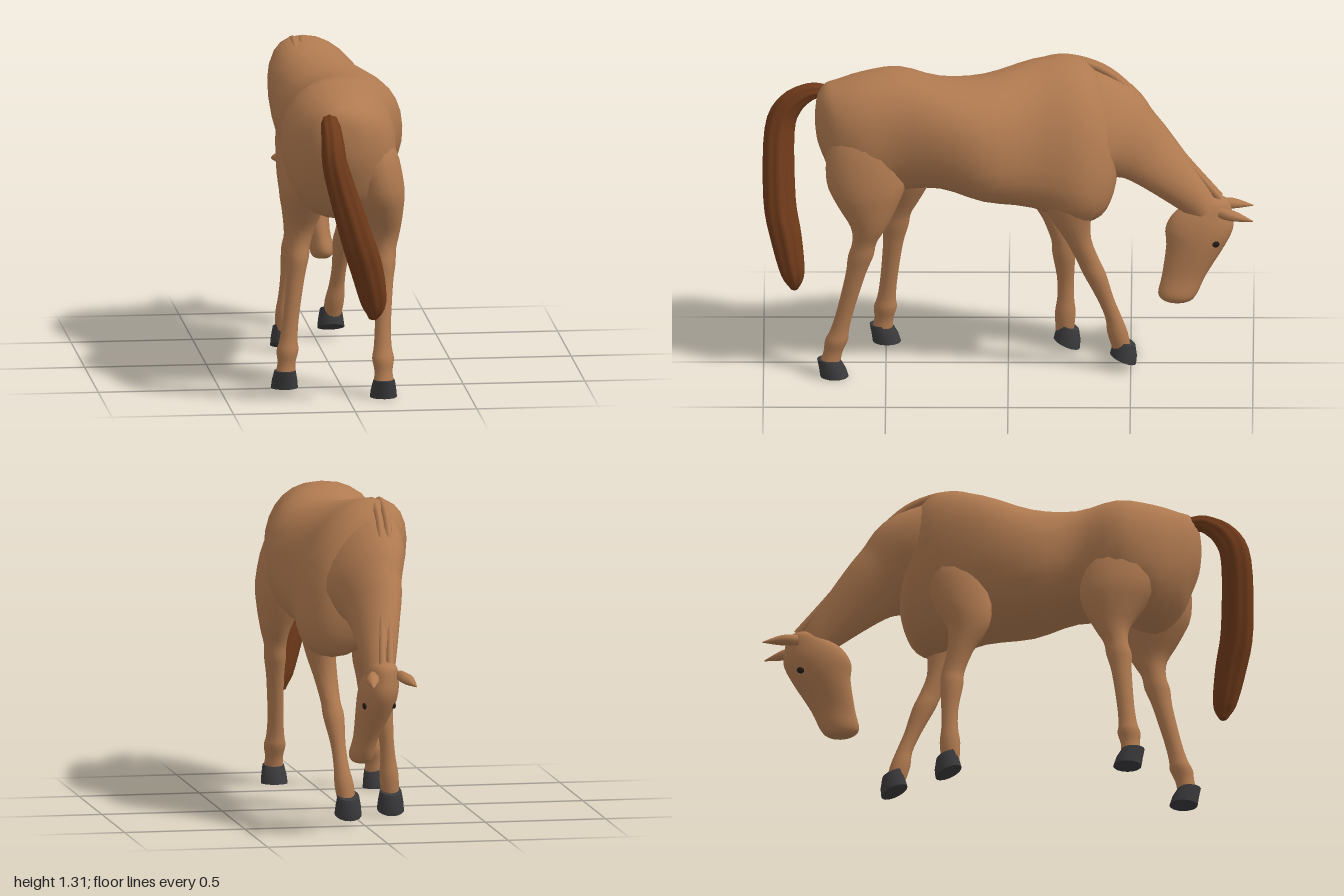
import * as THREE from 'three';

const material = (name, color) => Object.assign(new THREE.MeshStandardMaterial({ color }), { name });
const coat = material('coat brown', 0xb07a50);
const tailHair = material('tail brown', 0x6f3a1a);
const hoofHorn = material('hoof grey', 0x3a3a3c);
const eyeDark = material('eye dark', 0x241a16);

const X = new THREE.Vector3(1, 0, 0);
const FORWARD = new THREE.Vector3(0, 0, -1);
const DOWN = new THREE.Vector3(0, -1, 0);

// Smoothly resample rows of ring numbers (Catmull-Rom on every column)
function resample(rows, steps) {
  const out = [];
  const at = i => rows[Math.max(0, Math.min(rows.length - 1, i))];
  for (let i = 0; i < rows.length - 1; i++) {
    for (let k = 0; k < steps; k++) {
      const t = k / steps;
      out.push(rows[i].map((b, c) => {
        const a = at(i - 1)[c], d = at(i + 1)[c], e = at(i + 2)[c];
        return b + 0.5 * t * (d - a + t * (2 * a - 5 * b + 4 * d - e + t * (3 * (b - d) + e - a)));
      }));
    }
  }
  out.push(rows[rows.length - 1]);
  return out;
}

// Skin over rings [x, y, z, sideRadius, depthRadius, lean]; axis fixes the ring plane,
// otherwise rings stand square to the path
function loft(rows, { axis = null, sides = 20, steps = 3, power = 1, ridges = 0 } = {}) {
  const rings = resample(rows, steps);
  const centres = rings.map(r => new THREE.Vector3(r[0], r[1], r[2]));
  const pos = [], idx = [], n = rings.length;
  const bend = v => Math.sign(v) * Math.pow(Math.abs(v), power);
  rings.forEach((r, i) => {
    const t = axis ? axis.clone()
      : centres[Math.min(n - 1, i + 1)].clone().sub(centres[Math.max(0, i - 1)]).normalize();
    const s = X.clone().addScaledVector(t, -t.x).normalize();
    const f = t.clone().cross(s);
    for (let j = 0; j < sides; j++) {
      const a = j / sides * Math.PI * 2;
      const g = ridges ? 1 + 0.07 * Math.cos(ridges * a) : 1;
      const u = bend(Math.cos(a)) * r[3] * g, v = bend(Math.sin(a)) * r[4] * g;
      const p = centres[i].clone().addScaledVector(s, u + (r[5] || 0) * Math.sin(a)).addScaledVector(f, v);
      pos.push(p.x, p.y, p.z);
    }
  });
  for (let i = 0; i < n - 1; i++) {
    for (let j = 0; j < sides; j++) {
      const k = (j + 1) % sides, a = i * sides, b = a + sides;
      idx.push(a + j, a + k, b + j, a + k, b + k, b + j);
    }
  }
  // End caps with their own corners
  for (const ring of [0, n - 1]) {
    const base = pos.length / 3, start = ring * sides * 3;
    pos.push(...centres[ring].toArray(), ...pos.slice(start, start + sides * 3));
    for (let j = 0; j < sides; j++) {
      const a = base + 1 + j, b = base + 1 + (j + 1) % sides;
      idx.push(base, ring ? a : b, ring ? b : a);
    }
  }
  const geo = new THREE.BufferGeometry();
  geo.setAttribute('position', new THREE.Float32BufferAttribute(pos, 3));
  geo.setIndex(idx);
  geo.computeVertexNormals();
  return geo;
}

// Point of a leg's path [y, x, z] at height y
function pathAt(path, y) {
  const i = Math.max(1, path.findIndex(p => p[0] <= y));
  const [a, b] = [path[i - 1], path[i]];
  const t = (a[0] - y) / (a[0] - b[0]);
  return [a[1] + (b[1] - a[1]) * t, y, a[2] + (b[2] - a[2]) * t];
}

// Leg girth by height: y, half width, half depth
const hindGirth = [
  [1.16, 0.03, 0.05], [1.02, 0.1, 0.15], [0.86, 0.112, 0.163], [0.76, 0.092, 0.125], [0.67, 0.063, 0.074],
  [0.6, 0.047, 0.05], [0.54, 0.045, 0.052], [0.46, 0.037, 0.041], [0.3, 0.033, 0.035],
  [0.21, 0.037, 0.038], [0.165, 0.045, 0.047], [0.115, 0.037, 0.039], [0.07, 0.042, 0.043],
];
const foreGirth = [
  [1.12, 0.03, 0.05], [0.96, 0.08, 0.12], [0.8, 0.078, 0.118], [0.7, 0.064, 0.084], [0.6, 0.05, 0.054],
  [0.5, 0.041, 0.047], [0.44, 0.044, 0.047], [0.33, 0.031, 0.035], [0.24, 0.032, 0.034],
  [0.17, 0.04, 0.042], [0.09, 0.036, 0.037],
];

export function createModel() {
  const horse = new THREE.Group();
  horse.name = 'horse';
  const add = (name, geo, mat, parent = horse) => {
    const mesh = new THREE.Mesh(geo, mat);
    mesh.name = name;
    parent.add(mesh);
    return mesh;
  };

  // Barrel: z, x, top, bottom, half width, lean
  const barrel = [
    [0.79, -0.02, 1.1, 1.05, 0.015, 0], [0.78, -0.02, 1.17, 0.98, 0.075, 0],
    [0.75, -0.02, 1.215, 0.9, 0.13, 0], [0.7, -0.01, 1.235, 0.8, 0.178, 0],
    [0.6, -0.01, 1.265, 0.73, 0.222, 0], [0.45, -0.01, 1.285, 0.78, 0.235, 0],
    [0.28, 0.045, 1.265, 0.81, 0.22, 0], [0.1, 0.04, 1.262, 0.76, 0.248, 0.02],
    [-0.1, 0, 1.3, 0.73, 0.22, 0.07], [-0.28, 0.015, 1.315, 0.68, 0.208, 0.09],
    [-0.38, 0.02, 1.23, 0.7, 0.165, 0.07], [-0.43, 0.02, 1.08, 0.78, 0.115, 0.03],
    [-0.45, 0.01, 0.98, 0.88, 0.04, 0],
  ].map(([z, x, top, low, w, lean]) => [x, (top + low) / 2, z, w, (top - low) / 2, lean]);
  add('body', loft(barrel, { axis: FORWARD, sides: 28, power: 0.9 }), coat);

  // Neck and head
  add('neck', loft([
    [0, 1.05, -0.25, 0.16, 0.24, 0.08], [-0.01, 1.03, -0.4, 0.15, 0.2, 0.08],
    [-0.02, 0.97, -0.5, 0.118, 0.15, 0.05], [-0.025, 0.9, -0.585, 0.095, 0.118, 0.04],
    [-0.01, 0.74, -0.75, 0.07, 0.078, 0.01], [0, 0.67, -0.8, 0.06, 0.06, 0],
  ], { sides: 22, steps: 4 }), coat);
  const head = new THREE.Group();
  head.name = 'head';
  horse.add(head);
  add('skull', loft([
    [-0.02, 0.738, -0.835, 0.015, 0.02], [-0.015, 0.715, -0.83, 0.052, 0.07],
    [-0.008, 0.66, -0.795, 0.072, 0.12], [0, 0.6, -0.78, 0.08, 0.138], [0.012, 0.53, -0.765, 0.074, 0.12],
    [0.038, 0.41, -0.718, 0.05, 0.09], [0.052, 0.335, -0.692, 0.05, 0.08],
    [0.052, 0.305, -0.69, 0.038, 0.055], [0.05, 0.297, -0.69, 0.015, 0.02],
  ], { axis: DOWN, steps: 4 }), coat, head);
  for (const side of [-1, 1]) {
    const label = side > 0 ? 'left' : 'right';
    const eye = add(label + 'Eye', new THREE.SphereGeometry(0.018, 12, 8), eyeDark, head);
    eye.scale.set(0.5, 0.8, 1);
    eye.position.set(0.007 + side * 0.06, 0.555, -0.845);
    const base = -0.02 + side * 0.055, tip = -0.03 + side * 0.09;
    add(label + 'Ear', loft([
      [base, 0.68, -0.86, 0.018, 0.022], [(base + tip) / 2, 0.67, -0.92, 0.027, 0.021],
      [tip, 0.652, -1, 0.002, 0.002],
    ], { sides: 10, steps: 4 }), coat, head);
  }

  // Two low ridges of clipped mane along the crest
  const crest = [[-0.1, 1.27, -0.08], [-0.1, 1.305, -0.22], [-0.095, 1.265, -0.38],
    [-0.085, 1.17, -0.5], [-0.05, 0.92, -0.692], [-0.02, 0.725, -0.865]];
  for (const dx of [-0.016, 0.016]) {
    const curve = new THREE.CatmullRomCurve3(crest.map(([x, y, z]) => new THREE.Vector3(x + dx, y, z)));
    add('maneRidge', new THREE.TubeGeometry(curve, 30, 0.015, 8), coat);
  }

  // Legs: girth follows the path down to a hoof with its own pitch
  const hoofGeometry = loft([
    [0, 0.075, 0.018, 0.044, 0.047], [0, 0.035, 0.002, 0.052, 0.055], [0, 0, -0.006, 0.056, 0.058],
  ], { axis: DOWN, sides: 16, steps: 1 });
  const addLeg = (name, girth, path, sole, pitch) => {
    const leg = new THREE.Group();
    leg.name = name;
    horse.add(leg);
    const rings = girth.map(([y, w, d]) => [...pathAt(path, y), w, d]);
    add('limb', loft(rings, { axis: DOWN, sides: 16 }), coat, leg);
    const hoof = add('hoof', hoofGeometry, hoofHorn, leg);
    hoof.position.set(...sole);
    hoof.rotation.x = pitch;
  };
  addLeg('leftHindLeg', hindGirth, [[1.16, 0.09, 0.58], [0.85, 0.138, 0.58], [0.67, 0.17, 0.57],
    [0.53, 0.165, 0.605], [0.24, 0.148, 0.68], [0.07, 0.148, 0.728]], [0.148, 0.007, 0.716], 0);
  addLeg('rightHindLeg', hindGirth, [[1.16, -0.09, 0.52], [0.85, -0.141, 0.46], [0.7, -0.157, 0.425],
    [0.52, -0.178, 0.465], [0.24, -0.215, 0.495], [0.07, -0.232, 0.514]], [-0.235, 0.01, 0.503], 0);
  addLeg('leftForeLeg', foreGirth, [[1.12, 0.11, -0.28], [0.75, 0.148, -0.24], [0.6, 0.125, -0.285],
    [0.42, 0.1, -0.36], [0.24, 0.085, -0.43], [0.09, 0.068, -0.465]], [0.065, 0.055, -0.463], -0.4);
  addLeg('rightForeLeg', foreGirth, [[1.12, -0.1, -0.25], [0.7, -0.12, -0.16], [0.5, -0.115, -0.222],
    [0.3, -0.142, -0.235], [0.09, -0.155, -0.23]], [-0.155, 0.035, -0.232], -0.4);

  // Tail, arching back and swinging to the left
  add('tail', loft([
    [-0.08, 1.165, 0.75, 0.03, 0.03], [-0.08, 1.165, 0.81, 0.037, 0.036], [-0.08, 1.11, 0.89, 0.043, 0.05],
    [-0.07, 1, 0.935, 0.05, 0.058], [0.01, 0.73, 0.935, 0.061, 0.062],
    [0.058, 0.58, 0.908, 0.062, 0.06], [0.09, 0.43, 0.88, 0.048, 0.045], [0.085, 0.365, 0.873, 0.015, 0.015],
  ], { sides: 32, steps: 4, ridges: 8 }), tailHair);

  return horse;
}
